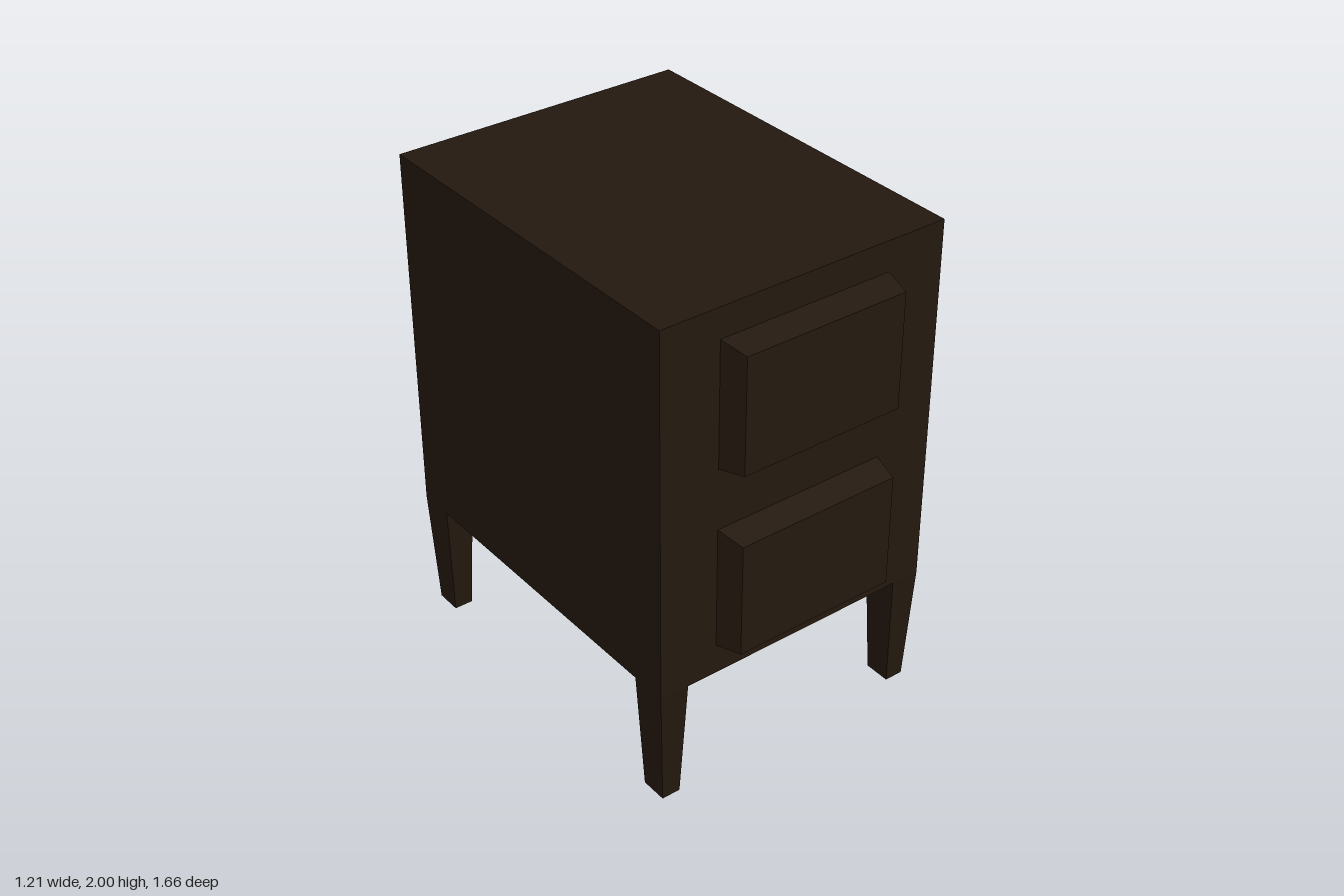
import * as THREE from 'three';

const wood = new THREE.MeshStandardMaterial({ color: 0x24190f, flatShading: true });

// Box whose +y end (or -y end when end = -1) is scaled to sx, sz
function taperedBox(w, h, d, sx, sz, end) {
  const geo = new THREE.BoxGeometry(w, h, d);
  const p = geo.attributes.position;
  for (let i = 0; i < p.count; i++) {
    if (p.getY(i) * end > 0) {
      p.setX(i, p.getX(i) * sx);
      p.setZ(i, p.getZ(i) * sz);
    }
  }
  geo.computeVertexNormals();
  return geo;
}

export function createModel() {
  const group = new THREE.Group();
  const add = (name, geo, x, y, z) => {
    const mesh = new THREE.Mesh(geo, wood);
    mesh.name = name;
    mesh.position.set(x, y, z);
    group.add(mesh);
    return mesh;
  };

  // Cabinet body
  const W = 1.212, front = 0.717, back = -0.828, bottom = 0.497;
  const D = front - back, H = 2 - bottom;
  add('body', new THREE.BoxGeometry(W, H, D), 0, bottom + H / 2, (front + back) / 2);

  // Raised drawer fronts, narrowing towards the front
  const depth = 0.111;
  const drawerGeo = taperedBox(0.724, depth, 0.504, 0.94, 0.92, 1).rotateX(Math.PI / 2);
  for (const [name, y] of [['upperDrawer', 1.627], ['lowerDrawer', 0.873]]) {
    add(name, drawerGeo, 0, y, front + depth / 2);
  }

  // Four legs, flush with the body corners and tapering to the floor
  const legW = 0.12, legD = 0.15;
  const legGeo = taperedBox(legW, bottom, legD, 0.64, 0.72, -1);
  for (const [side, sx] of [['left', 1], ['right', -1]]) {
    const x = sx * (W - legW) / 2;
    add(side + 'FrontLeg', legGeo, x, bottom / 2, front - legD / 2);
    add(side + 'BackLeg', legGeo, x, bottom / 2, back + legD / 2);
  }
  return group;
}
